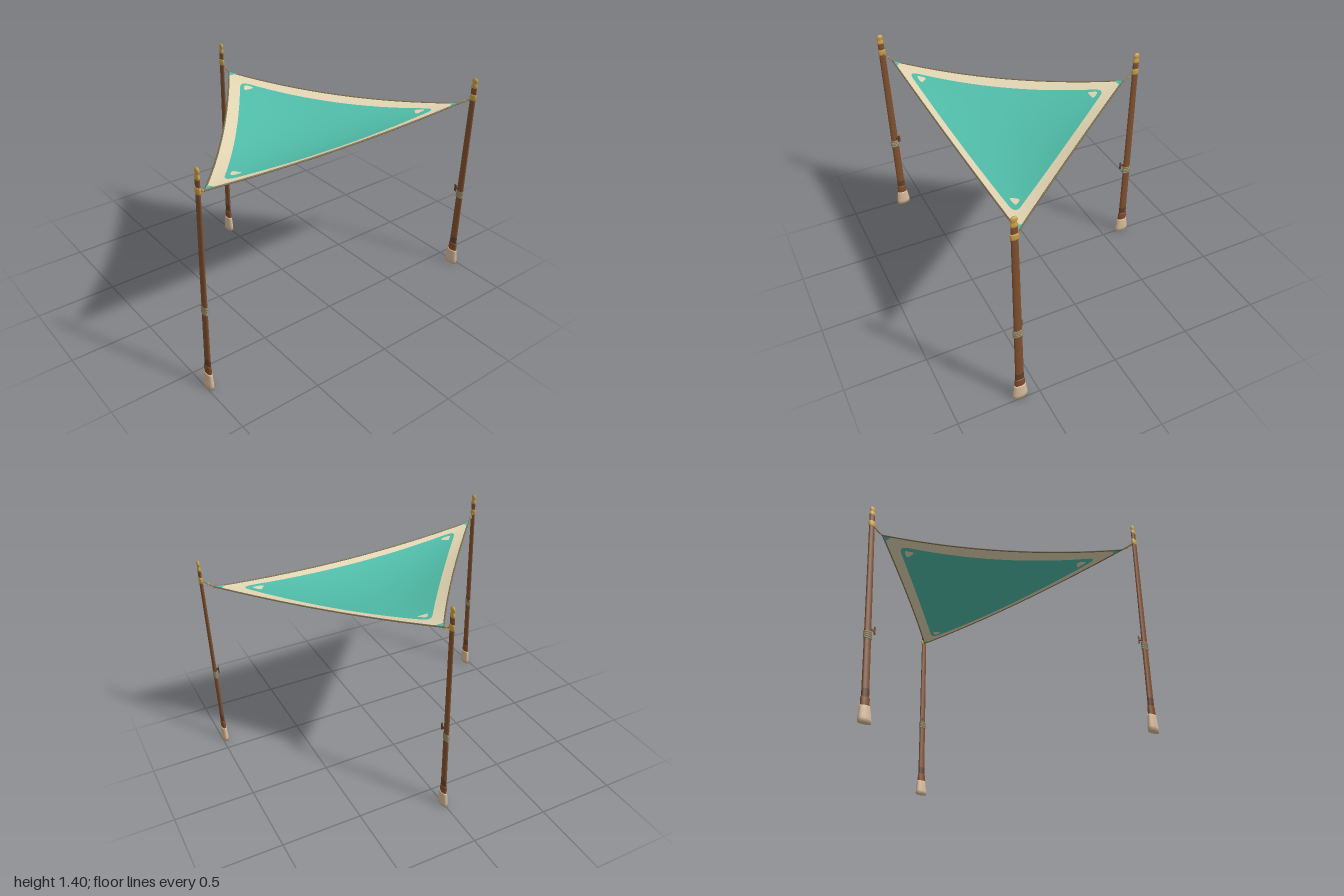
import * as THREE from 'three';

const V = (x, y, z) => new THREE.Vector3(x, y, z);
const mat = (name, color, side = THREE.FrontSide) => {
  const m = new THREE.MeshStandardMaterial({ color, side });
  m.name = name;
  return m;
};

export function createModel() {
  const wood = mat('brown wood', 0x80502f);
  const darkWood = mat('dark wood', 0x63402a);
  const collarWood = mat('warm wood', 0x824c2b);
  const stone = mat('tan stone', 0xd6ba9a);
  const gold = mat('gold', 0xcba045);
  const ropeMat = mat('khaki rope', 0x8d8160);
  const hemMat = mat('hem rope', 0x7b6f50);
  const teal = mat('teal cloth', 0x50bca8, THREE.DoubleSide);
  const cream = mat('cream cloth', 0xe2d5b3, THREE.DoubleSide);

  const model = new THREE.Group();
  model.name = 'shadeSail';
  const add = (parent, name, geo, material) => {
    const m = new THREE.Mesh(geo, material);
    m.name = name;
    parent.add(m);
    return m;
  };
  const lathe = (pts) => new THREE.LatheGeometry(pts.map(p => new THREE.Vector2(...p)), 16);
  const tube = (pts, r, n) => new THREE.TubeGeometry(new THREE.CatmullRomCurve3(pts), n, r, 6);

  // Sail corners in order: back, right side, left side
  const corners = [V(0, 1.23, -0.57), V(-0.92, 1.2, 0.605), V(0.92, 1.17, 0.575)];
  // Pull of each edge opposite to a corner: inward and down
  const pull = [V(0, -0.038, -0.012), V(-0.021, -0.042, 0.016), V(0.021, -0.042, 0.016)];

  // Sail surface from three corner weights
  const sail = (w, lift = 0) => {
    const p = V(0, lift - 27 * w[0] * w[1] * w[2] * 0.053, 0);
    for (let i = 0; i < 3; i++) {
      p.addScaledVector(corners[i], w[i]);
      p.addScaledVector(pull[i], 4 * w[(i + 1) % 3] * w[(i + 2) % 3]);
    }
    return p;
  };
  const mix = (a, b, t) => a.map((v, i) => v + (b[i] - v) * t);

  // Rounded triangle outline in corner weights: centre q, size s, rounding r
  const outline = (q, s, r, sideSteps = 16) => {
    const k = [0, 1, 2].map(i => q.map((v, j) => v + s * ((i === j ? 1 : 0) - 1 / 3)));
    const pts = [];
    for (let i = 0; i < 3; i++) {
      const prev = k[(i + 2) % 3], next = k[(i + 1) % 3];
      const start = mix(k[i], prev, r), end = mix(k[i], next, r);
      for (let j = 0; j <= 6; j++) {
        const t = j / 6;
        pts.push(mix(mix(start, k[i], t), mix(k[i], end, t), t));
      }
      const stop = mix(next, k[i], r);
      for (let j = 1; j < sideSteps; j++) pts.push(mix(end, stop, j / sideSteps));
    }
    return pts;
  };

  // Surface from nested outlines; rings before `split` use the first material
  const rings = (loops, split, lift = 0) => {
    const g = new THREE.BufferGeometry(), pos = [], idx = [], n = loops[0].length;
    loops.forEach(l => l.forEach(w => pos.push(...sail(w, lift).toArray())));
    let splitAt = 0;
    for (let r = 0; r + 1 < loops.length; r++) {
      if (r === split) splitAt = idx.length;
      for (let i = 0; i < n; i++) {
        const a = r * n + i, b = r * n + (i + 1) % n;
        idx.push(a, a + n, b, b, a + n, b + n);
      }
    }
    g.setAttribute('position', new THREE.Float32BufferAttribute(pos, 3));
    g.setIndex(idx);
    g.computeVertexNormals();
    if (split) {
      g.addGroup(0, splitAt, 0);
      g.addGroup(splitAt, idx.length - splitAt, 1);
    }
    return g;
  };

  // Cloth: teal panel inside a cream border
  const third = [1 / 3, 1 / 3, 1 / 3];
  const margin = [0.044, 0.052, 0.052];
  const size = 1 - margin[0] - margin[1] - margin[2];
  const panel = outline(margin.map(m => m + size / 3), size, 0.055);
  const outer = outline(third, 1, 0);
  const loops = [];
  for (let i = 0; i <= 10; i++) loops.push(panel.map(w => mix(third, w, i / 10)));
  for (let i = 1; i <= 3; i++) loops.push(panel.map((w, j) => mix(w, outer[j], i / 3)));
  add(model, 'sailCloth', rings(loops, 10), [teal, cream]);

  for (let i = 0; i < 3; i++) {
    // Corner patches and tips on both faces of the cloth
    const at = (v) => [0, 1, 2].map(j => (j === i ? v : (1 - v) / 2));
    for (const lift of [0.004, -0.004]) {
      const plate = (name, q, s, r, m) => {
        const o = outline(q, s, r, 3);
        add(model, name, rings([o.map(() => q), o], 0, lift), m);
      };
      plate('cornerPatch', at(0.826), 0.048, 0.33, cream);
      plate('cornerTip', at(1 - 0.035 * 2 / 3), 0.035, 0, teal);
    }
    // Hem rope along each edge
    const pts = [];
    for (let j = 0; j <= 16; j++) {
      const w = [0, 0, 0];
      w[i] = 1 - j / 16;
      w[(i + 1) % 3] = j / 16;
      pts.push(sail(w));
    }
    add(model, 'hemRope', tube(pts, 0.005, 40), hemMat);
  }

  // Poles: base position, height and outward lean
  const poles = [
    { x: 0, z: -0.641, h: 1.4, dx: 0, dz: -0.014 },
    { x: -0.98, z: 0.641, h: 1.37, dx: -0.006, dz: 0.014 },
    { x: 0.98, z: 0.613, h: 1.335, dx: 0.006, dz: 0.014 },
  ];
  poles.forEach((p, i) => {
    const pole = new THREE.Group();
    pole.name = 'pole';
    pole.position.set(p.x, 0, p.z);
    pole.rotation.set(p.dz / p.h, 0, -p.dx / p.h);
    pole.scale.set(0.45, 1, 1);
    model.add(pole);

    add(pole, 'foot', lathe([[0, 0], [0.046, 0], [0.046, 0.025], [0.043, 0.045], [0.037, 0.09],
      [0.034, 0.1], [0, 0.1]]), stone);
    add(pole, 'footCollar', lathe([[0.031, 0.095], [0.032, 0.105], [0.031, 0.145], [0.027, 0.153], [0, 0.153]]), collarWood);
    const top = p.h - 0.065;
    add(pole, 'lowerShaft', new THREE.CylinderGeometry(0.0263, 0.027, 0.06, 16).translate(0, 0.17, 0), darkWood);
    add(pole, 'shaft', new THREE.CylinderGeometry(0.02, 0.0263, top - 0.2, 16)
      .translate(0, (top + 0.2) / 2, 0), wood);

    // Gold collar and finial
    const c = p.h - 0.125;
    add(pole, 'collar', lathe([[0, c - 0.02], [0.021, c - 0.02], [0.024, c - 0.013], [0.025, c],
      [0.024, c + 0.013], [0.021, c + 0.02], [0, c + 0.02]]), gold);
    add(pole, 'finial', lathe([[0, -0.068], [0.018, -0.068], [0.022, -0.058], [0.022, -0.05], [0.015, -0.038],
      [0.015, -0.034], [0.02, -0.025], [0.02, -0.013], [0.013, -0.003], [0, 0]]
      .map(([r, y]) => [r, y + p.h])), gold);

    // Rope wraps, and a cleat facing the middle
    for (let j = 0; j < 4; j++) {
      add(pole, 'ropeWrap', new THREE.TorusGeometry(0.024, 0.007, 6, 20)
        .rotateX(Math.PI / 2).translate(0, 0.508 + j * 0.0125, 0), ropeMat);
    }
    const cleat = new THREE.Group();
    cleat.name = 'cleat';
    cleat.rotation.y = Math.atan2(-p.x, -p.z);
    pole.add(cleat);
    add(cleat, 'cleatStem', new THREE.BoxGeometry(0.014, 0.012, 0.03).translate(0, 0.57, 0.034), darkWood);
    add(cleat, 'cleatBar', new THREE.BoxGeometry(0.016, 0.048, 0.009).translate(0, 0.57, 0.05), darkWood);

    // Tie rope from collar to sail corner, with a ring and a knot
    const lean = c / p.h;
    const from = V(p.x + p.dx * lean, c, p.z + p.dz * lean);
    const to = corners[i];
    const mid = from.clone().lerp(to, 0.55);
    mid.y -= 0.004;
    add(model, 'tieRope', tube([from, mid, to], 0.005, 10), ropeMat);
    const ring = add(model, 'tieRing', new THREE.TorusGeometry(0.008, 0.003, 6, 14), gold);
    ring.position.copy(mid);
    ring.lookAt(from);
    add(model, 'cornerKnot', new THREE.SphereGeometry(0.007, 10, 8), hemMat).position.copy(to);
  });
  return model;
}
